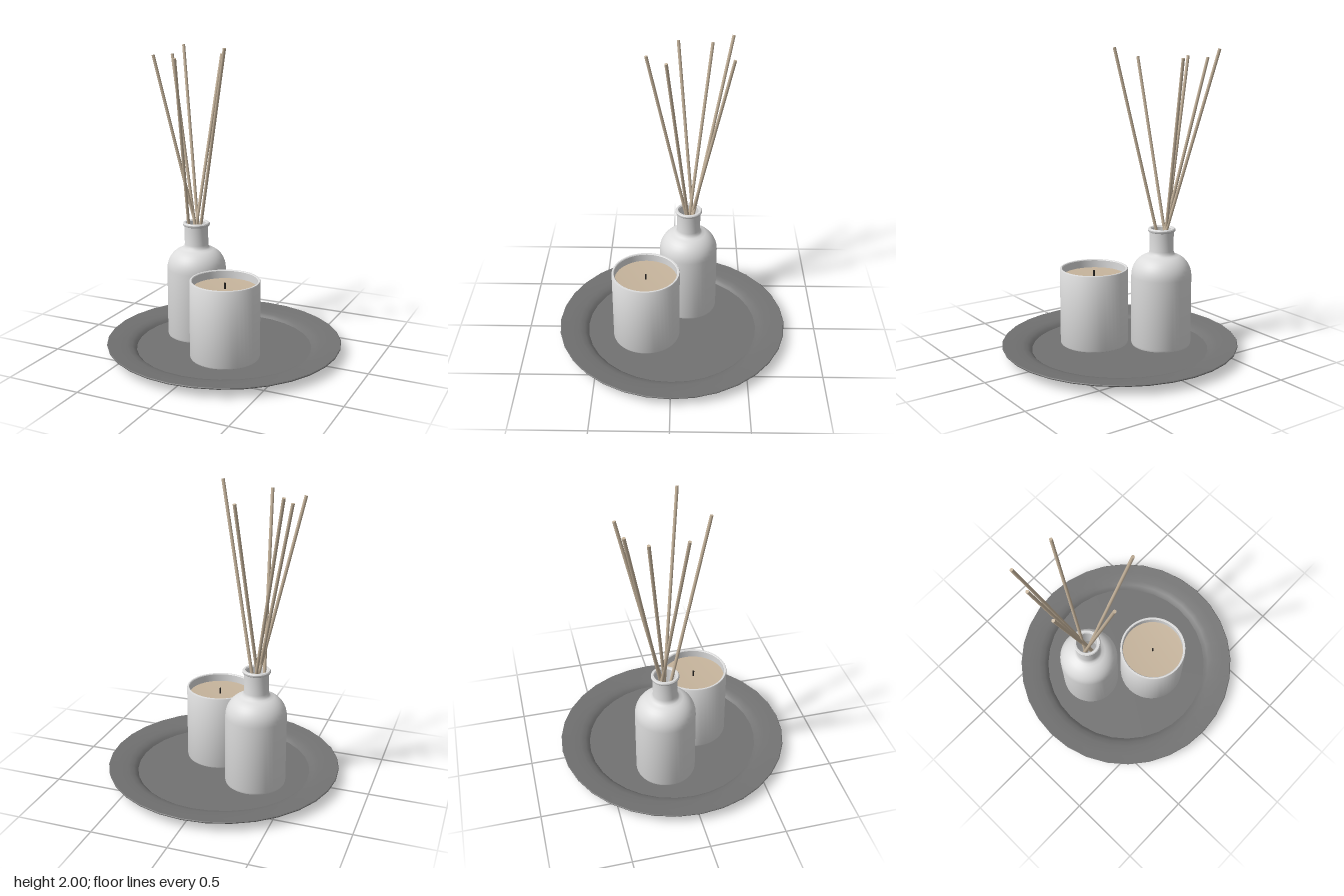
import * as THREE from 'three';
import { toCreasedNormals } from 'three/addons/utils/BufferGeometryUtils.js';

const material = (name, color) => {
  const m = new THREE.MeshStandardMaterial({ color });
  m.name = name;
  return m;
};

export function createModel() {
  const ceramic = material('white ceramic', 0xdcdcdc);
  const slate = material('dark grey tray', 0x727272);
  const natural = material('natural beige', 0xc6b49c);
  const black = material('black wick', 0x252321);

  const model = new THREE.Group();
  model.name = 'diffuserAndCandleTray';

  const add = (parent, name, geometry, mat, x = 0, y = 0, z = 0) => {
    const mesh = new THREE.Mesh(geometry, mat);
    mesh.name = name;
    mesh.position.set(x, y, z);
    parent.add(mesh);
    return mesh;
  };
  const group = (name, x, z) => {
    const g = new THREE.Group();
    g.name = name;
    g.position.set(x, 0, z);
    model.add(g);
    return g;
  };
  // Closed profile of [radius, height], running up the outside and down the inside
  const lathe = (points, segments) => toCreasedNormals(
    new THREE.LatheGeometry(points.map(([r, y]) => new THREE.Vector2(r, y)), segments), 0.6);

  // Shallow plate with a raised base and a wide flared rim
  add(model, 'tray', lathe([
    [0, 0], [0.585, 0], [0.597, 0.006], [0.603, 0.016], [0.625, 0.026], [0.665, 0.039],
    [0.72, 0.048], [0.78, 0.058], [0.782, 0.064], [0.778, 0.068], [0.72, 0.062],
    [0.65, 0.055], [0.615, 0.046], [0.597, 0.034], [0.585, 0.022], [0, 0.022],
  ], 32), slate);

  // Bottle: straight body, round shoulder, narrow open neck with a lip
  const diffuser = group('diffuser', -0.26, -0.11);
  const shoulder = [];
  for (let i = 0; i <= 8; i++) {
    const a = (i / 8) * 1.35;
    shoulder.push([0.065 + 0.135 * Math.cos(a), 0.5 + 0.145 * Math.sin(a)]);
  }
  add(diffuser, 'bottle', lathe([
    [0, 0.022], [0.185, 0.022], [0.196, 0.027], [0.2, 0.04], ...shoulder,
    [0.084, 0.652], [0.08, 0.67], [0.08, 0.795], [0.087, 0.798], [0.091, 0.805],
    [0.091, 0.813], [0.086, 0.82], [0.073, 0.82], [0.067, 0.812], [0.067, 0.65],
    [0.13, 0.6], [0.18, 0.5], [0.18, 0.05], [0, 0.05],
  ], 48), ceramic);

  // Reeds: tip, then the point where each one crosses the mouth of the bottle
  const mouthY = 0.82, footY = 0.3;
  const reeds = [
    [-0.49, 1.985, -0.387, -0.272, -0.15],
    [-0.508, 1.93, -0.255, -0.282, -0.122],
    [-0.528, 1.935, -0.032, -0.285, -0.132],
    [-0.2, 1.93, -0.385, -0.272, -0.143],
    [-0.262, 1.93, 0.167, -0.303, -0.077],
    [0.018, 1.993, 0.035, -0.219, -0.1],
  ];
  for (const [x, y, z, mx, mz] of reeds) {
    const tip = new THREE.Vector3(x + 0.26, y, z + 0.11);
    const mouth = new THREE.Vector3(mx + 0.26, mouthY, mz + 0.11);
    const foot = tip.clone().lerp(mouth, (y - footY) / (y - mouthY));
    const axis = tip.clone().sub(foot);
    const reed = add(diffuser, 'reed', new THREE.CylinderGeometry(0.0105, 0.0105, axis.length(), 10), natural);
    reed.position.copy(foot).addScaledVector(axis, 0.5);
    reed.quaternion.setFromUnitVectors(new THREE.Vector3(0, 1, 0), axis.normalize());
  }

  // Candle: open cup, wax filling and wick
  const candle = group('candle', 0.088, 0.175);
  add(candle, 'cup', lathe([
    [0, 0.022], [0.218, 0.022], [0.225, 0.026], [0.228, 0.034], [0.228, 0.536],
    [0.225, 0.541], [0.215, 0.541], [0.211, 0.536], [0.211, 0.45], [0, 0.45],
  ], 48), ceramic);
  add(candle, 'wax', lathe([[0.212, 0.46], [0.212, 0.486], [0.19, 0.484], [0, 0.482]], 48), natural);
  add(candle, 'wick', new THREE.CylinderGeometry(0.006, 0.006, 0.045, 8), black, 0, 0.5, 0);

  return model;
}
